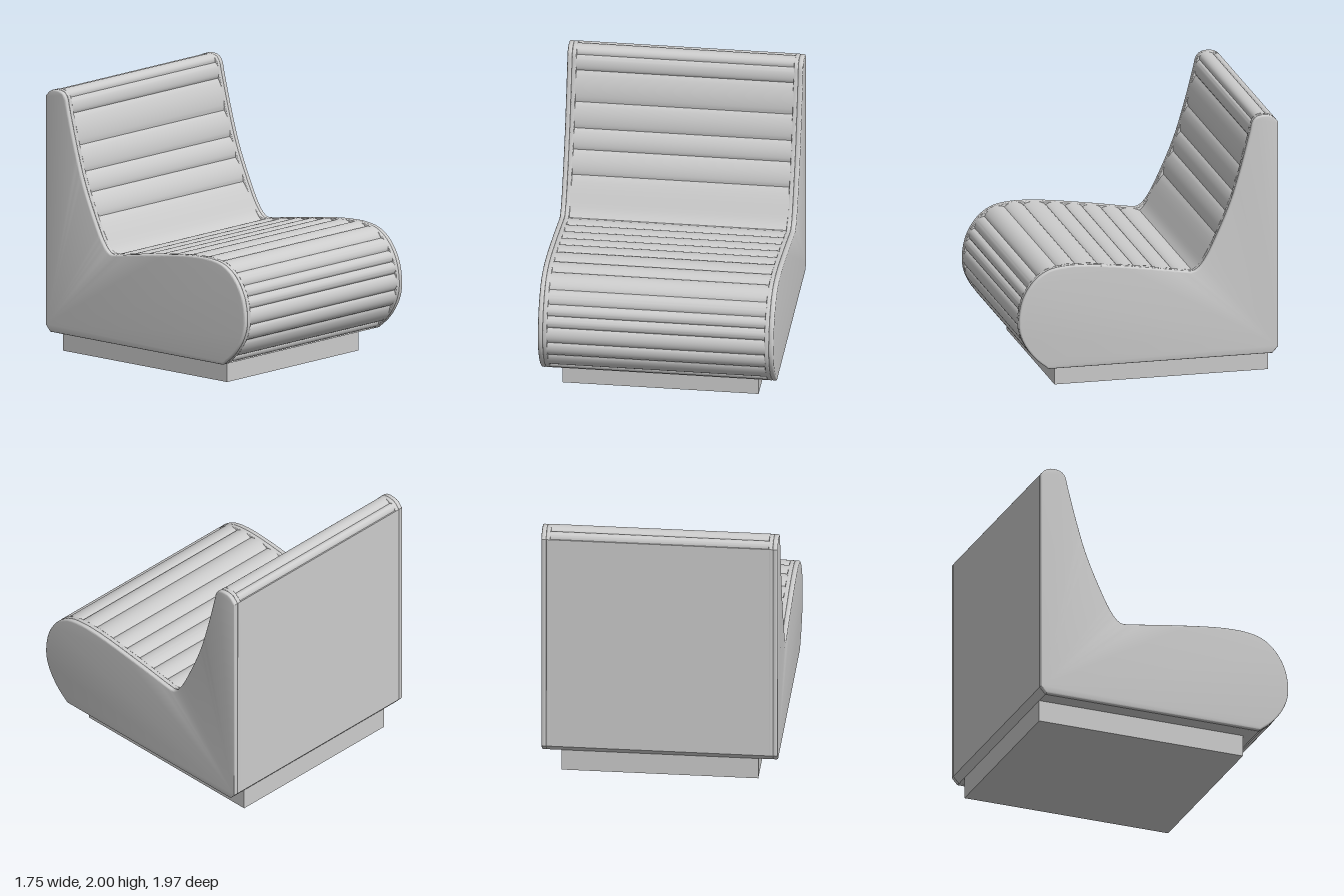
import * as THREE from 'three';
import { toCreasedNormals } from 'three/addons/utils/BufferGeometryUtils.js';

// Upholstered edge of the side outline as [z, y], from front bottom over the seat to the top of the back
const OUTLINE = [
  [0.76, 0.165], [0.86, 0.25], [0.94, 0.36], [0.978, 0.46], [0.984, 0.56], [0.96, 0.69],
  [0.91, 0.79], [0.84, 0.87], [0.75, 0.922], [0.63, 0.944], [0.5, 0.945], [0.35, 0.933],
  [0, 0.885], [-0.3, 0.838], [-0.34, 0.836], [-0.38, 0.86], [-0.43, 0.925], [-0.5, 1.06],
  [-0.62, 1.34], [-0.7, 1.6], [-0.77, 1.87], [-0.79, 1.95], [-0.82, 1.985], [-0.88, 1.998],
  [-0.94, 1.985], [-0.985, 1.94],
];
// Flat back and bottom corner that close the outline
const CLOSING = [[-0.985, 0.215], [-0.94, 0.165]];

// Stitch lines between the padded channels, as [z, y]
const SEAMS = [
  [0.82, 0.21], [0.94, 0.35], [0.98, 0.48], [0.975, 0.61], [0.955, 0.7], [0.915, 0.78],
  [0.84, 0.87], [0.68, 0.94], [0.53, 0.945], [0.36, 0.935], [0.215, 0.915], [0.08, 0.895],
  [-0.065, 0.875], [-0.21, 0.855], [-0.345, 0.836], [-0.515, 1.09], [-0.59, 1.26],
  [-0.645, 1.41], [-0.7, 1.6], [-0.76, 1.83], [-0.79, 1.95], [-0.92, 1.99],
];

const material = new THREE.MeshStandardMaterial({ color: 0xcccccc, roughness: 0.8 });
const curve = new THREE.CatmullRomCurve3(
  OUTLINE.map(([z, y]) => new THREE.Vector3(z, y, 0)), false, 'centripetal');
curve.arcLengthDivisions = 800;

function closedShape(points) {
  return new THREE.Shape([...points, ...CLOSING.map(([z, y]) => new THREE.Vector2(z, y))]);
}

// Extrude a side outline across the width, from x = xMin to xMax
function slab(name, shape, xMin, xMax, bevel = 0) {
  const width = xMax - xMin;
  const geometry = new THREE.ExtrudeGeometry(shape, {
    depth: width - 2 * bevel, steps: 1, bevelEnabled: bevel > 0,
    bevelThickness: bevel, bevelSize: bevel, bevelOffset: -bevel, bevelSegments: 3,
  });
  geometry.translate(0, 0, -width / 2 + bevel);
  geometry.rotateY(-Math.PI / 2);
  geometry.translate((xMin + xMax) / 2, 0, 0);
  const mesh = new THREE.Mesh(toCreasedNormals(geometry, 0.55), material);
  mesh.name = name;
  return mesh;
}

// Outline that puffs out between the seams and dips in at each one
function channelShape() {
  const samples = curve.getSpacedPoints(1500);
  const nearest = ([z, y]) => {
    let best = 0, bestDistance = Infinity;
    samples.forEach((p, i) => {
      const d = Math.hypot(p.x - z, p.y - y);
      if (d < bestDistance) { bestDistance = d; best = i; }
    });
    return best / 1500;
  };
  const stops = [0, ...SEAMS.map(nearest), 1];
  const points = [];
  const steps = 12;
  for (let s = 0; s < stops.length - 1; s++) {
    for (let k = 0; k < steps; k++) {
      const u = THREE.MathUtils.lerp(stops[s], stops[s + 1], k / steps);
      const p = curve.getPointAt(u), t = curve.getTangentAt(u);
      const puff = u === 0 ? 0 : -0.02 + 0.022 * Math.pow(Math.sin(Math.PI * k / steps), 0.65);
      points.push(new THREE.Vector2(p.x + t.y * puff, p.y - t.x * puff));
    }
  }
  points.push(new THREE.Vector2(-0.985, 1.94));
  return closedShape(points);
}

export function createModel() {
  const chair = new THREE.Group();
  chair.name = 'loungeChair';

  // Recessed plinth
  const plinth = new THREE.Mesh(new THREE.BoxGeometry(1.455, 0.17, 1.62), material);
  plinth.name = 'plinth';
  plinth.position.set(0, 0.085, -0.13);
  chair.add(plinth);

  // Channelled seat and back
  chair.add(slab('channelledCushion', channelShape(), -0.812, 0.812));

  // Smooth border and side panel on each side
  const smooth = closedShape(curve.getSpacedPoints(140).map((p) => new THREE.Vector2(p.x, p.y)));
  for (const [side, sign] of [['left', 1], ['right', -1]]) {
    const parts = [
      [side + 'Border', 0.806, 0.84, 0.006],
      [side + 'Panel', 0.836, 0.875, 0.012],
    ];
    for (const [name, inner, outer, bevel] of parts) {
      chair.add(slab(name, smooth, Math.min(sign * inner, sign * outer),
        Math.max(sign * inner, sign * outer), bevel));
    }
  }
  return chair;
}
